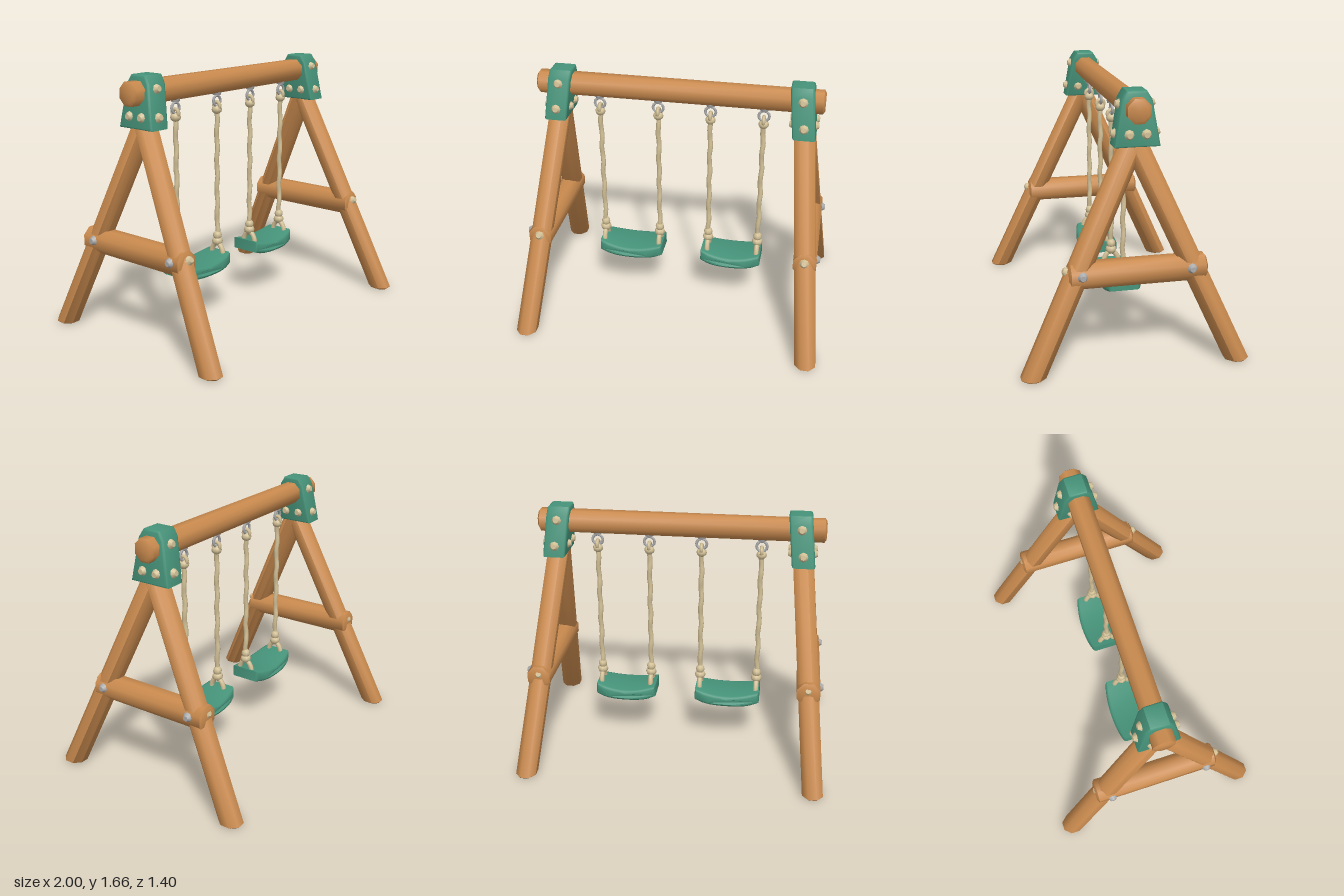
import * as THREE from 'three';
import { toCreasedNormals } from 'three/addons/utils/BufferGeometryUtils.js';

const material = (name, color) => {
  const m = new THREE.MeshStandardMaterial({ color });
  m.name = name;
  return m;
};
const wood = material('wood', 0xc98a4e);
const green = material('green plastic', 0x46937a);
const rope = material('rope', 0xd3c197);
const metal = material('metal', 0xababab);

const CZ = -0.01; // depth of the beam, ropes and seats
const lean = (y) => 0.935 - 0.102 * y; // sideways position of the frame at a height
const spread = (y) => 0.63 - 0.457 * y; // distance of a leg from the middle at a height

function part(parent, name, geometry, mat, x = 0, y = 0, z = 0) {
  const mesh = new THREE.Mesh(geometry, mat);
  mesh.name = name;
  mesh.position.set(x, y, z);
  parent.add(mesh);
  return mesh;
}

// Move every vertex by a rule
function reshape(geometry, rule) {
  const p = geometry.attributes.position;
  const v = new THREE.Vector3();
  for (let i = 0; i < p.count; i++) {
    rule(v.fromBufferAttribute(p, i));
    p.setXYZ(i, v.x, v.y, v.z);
  }
  geometry.computeVertexNormals();
  return geometry;
}

// Eight-sided upright log with chamfered ends; a and b are half widths
function log(a, b, length) {
  const R = 1 / Math.cos(Math.PI / 8);
  const profile = [
    [0, 0], [R * 0.75, 0], [R, 0.012], [R, length - 0.012], [R * 0.75, length], [0, length],
  ].map(([x, y]) => new THREE.Vector2(x, y));
  return new THREE.LatheGeometry(profile, 8, Math.PI / 8).scale(a, 1, b);
}
const smooth = (geometry) => toCreasedNormals(geometry, 0.9);

// Faceted bolt head pointing along a direction
const boltGeometry = new THREE.CylinderGeometry(0.017, 0.032, 0.024, 8).translate(0, 0.008, 0);
function bolt(parent, name, mat, position, direction) {
  const mesh = part(parent, name, boltGeometry, mat, ...position);
  mesh.quaternion.setFromUnitVectors(
    new THREE.Vector3(0, 1, 0), new THREE.Vector3(...direction).normalize());
}

function tube(points, radius, segments) {
  const curve = new THREE.CatmullRomCurve3(points.map((p) => new THREE.Vector3(...p)));
  return new THREE.TubeGeometry(curve, segments, radius, 8);
}

function bracketGeometry(s) {
  const half = [[0.12, 1.36], [0.077, 1.61], [0.05, 1.652]];
  const outline = [...half, ...half.map(([x, y]) => [-x, y]).reverse()];
  const shape = new THREE.Shape(outline.map(([x, y]) => new THREE.Vector2(x, y)));
  const geometry = new THREE.ExtrudeGeometry(shape, {
    depth: 0.12, bevelSize: 0.013, bevelThickness: 0.013, bevelSegments: 2,
  });
  geometry.translate(0, 0, -0.06).rotateY(Math.PI / 2);
  return reshape(geometry, (v) => { v.x += s * lean(v.y); });
}

// One end of the frame: two legs, a crossbar, a bracket and their bolts
function frameEnd(s) {
  const end = new THREE.Group();
  end.name = s > 0 ? 'leftFrame' : 'rightFrame';
  for (const f of [1, -1]) {
    const side = f > 0 ? 'front' : 'back';
    const leg = reshape(log(0.066, 0.073, 1.44), (v) => {
      v.x += s * lean(v.y);
      v.z += f * spread(v.y);
    });
    part(end, side + 'Leg', smooth(leg), wood);
    bolt(end, side + 'LegBolt', rope,
      [s * lean(0.635), 0.635, f * (spread(0.635) + 0.073)], [0, 0.4, f * 0.9]);
    bolt(end, side + 'CrossbarBolt', metal, [s * 0.948, 0.62, f * 0.327], [s, 0, 0]);

    // Bracket bolts on the front and back slopes and on both faces
    for (const [y, z] of [[1.585, 0.096], [1.42, 0.124]]) {
      bolt(end, side + 'BracketBolt', rope,
        [s * (lean(y) + 0.002), y, CZ + f * z], [0, 0.17, f]);
    }
    for (const d of [1, -1]) {
      bolt(end, d > 0 ? 'outerBracketBolt' : 'innerBracketBolt', rope,
        [s * (lean(1.42) + d * 0.073), 1.42, CZ + f * 0.05], [s * d, 0, 0]);
    }
  }
  const bar = log(0.074, 0.077, 0.83).translate(0, -0.415, 0).rotateX(Math.PI / 2);
  part(end, 'crossbar', smooth(bar), wood, s * 0.873, 0.608, -0.012);
  part(end, 'bracket', smooth(bracketGeometry(s)), green, 0, 0, CZ);
  return end;
}

// Sagging seat plank with bevelled edges and bowed front and back
function seatGeometry() {
  const w = 0.193;
  const top = [], bottom = [];
  for (let i = 0; i <= 10; i++) {
    const t = i / 5 - 1;
    top.push(new THREE.Vector2(t * w, 0.373 + 0.029 * t * t));
    bottom.unshift(new THREE.Vector2(t * w, 0.337 + 0.022 * t ** 4));
  }
  const geometry = new THREE.ExtrudeGeometry(new THREE.Shape([...bottom, ...top]), {
    depth: 0.22, bevelSize: 0.018, bevelThickness: 0.02, bevelSegments: 2,
  });
  geometry.translate(0, 0, -0.11);
  return reshape(geometry, (v) => { v.z *= 1 - 0.22 * (v.x / 0.21) ** 2; });
}

// Metal eye, knots, rope and the split strands that hold the seat
function hanger(x, phase) {
  const group = new THREE.Group();
  group.name = 'hanger';
  group.position.set(x, 0, CZ + 0.005);
  part(group, 'eyePlate', new THREE.CylinderGeometry(0.032, 0.026, 0.02, 8), metal, 0, 1.484, 0);
  part(group, 'eyeRing', new THREE.TorusGeometry(0.034, 0.009, 6, 12), metal, 0, 1.435, 0);
  const loop = new THREE.TorusGeometry(0.025, 0.013, 6, 10).rotateY(Math.PI / 2);
  part(group, 'ropeLoop', loop, rope, 0, 1.403, 0);
  const line = [];
  for (let i = 0; i <= 14; i++) {
    const a = i * 2.1 + phase;
    line.push([0.004 * Math.sin(a), 0.5 + i * 0.062, 0.004 * Math.cos(a)]);
  }
  part(group, 'ropeLine', tube(line, 0.016, 42), rope);
  const knots = [[1.378, 0.034, 0.03], [0.53, 0.03, 0.033], [0.49, 0.037, 0.032]];
  for (const [y, r, h] of knots) {
    part(group, 'knot', new THREE.SphereGeometry(1, 8, 6).scale(r, h, r), rope, 0, y, 0);
  }
  const strands = [[0, 0.385, 0.05], [0, 0.43, 0.044], [0, 0.468, 0.018],
    [0, 0.468, -0.018], [0, 0.43, -0.044], [0, 0.385, -0.05]];
  part(group, 'seatStrands', tube(strands, 0.017, 20), rope);
  return group;
}

export function createModel() {
  const model = new THREE.Group();
  model.name = 'swingSet';

  const beam = log(0.071, 0.068, 1.84).translate(0, -0.92, 0).rotateZ(Math.PI / 2);
  part(model, 'topBeam', smooth(beam), wood, -0.01, 1.56, CZ);
  model.add(frameEnd(1), frameEnd(-1));

  for (const [name, x, left, right] of [
    ['rightSwing', -0.336, -0.53, -0.145],
    ['leftSwing', 0.358, 0.195, 0.535],
  ]) {
    const swing = new THREE.Group();
    swing.name = name;
    const seat = part(swing, 'seat', smooth(seatGeometry()), green, x, 0, CZ - 0.003);
    seat.scale.x = name === 'rightSwing' ? 1.04 : 0.97;
    swing.add(hanger(left, x * 9), hanger(right, x * 5));
    model.add(swing);
  }
  return model;
}
